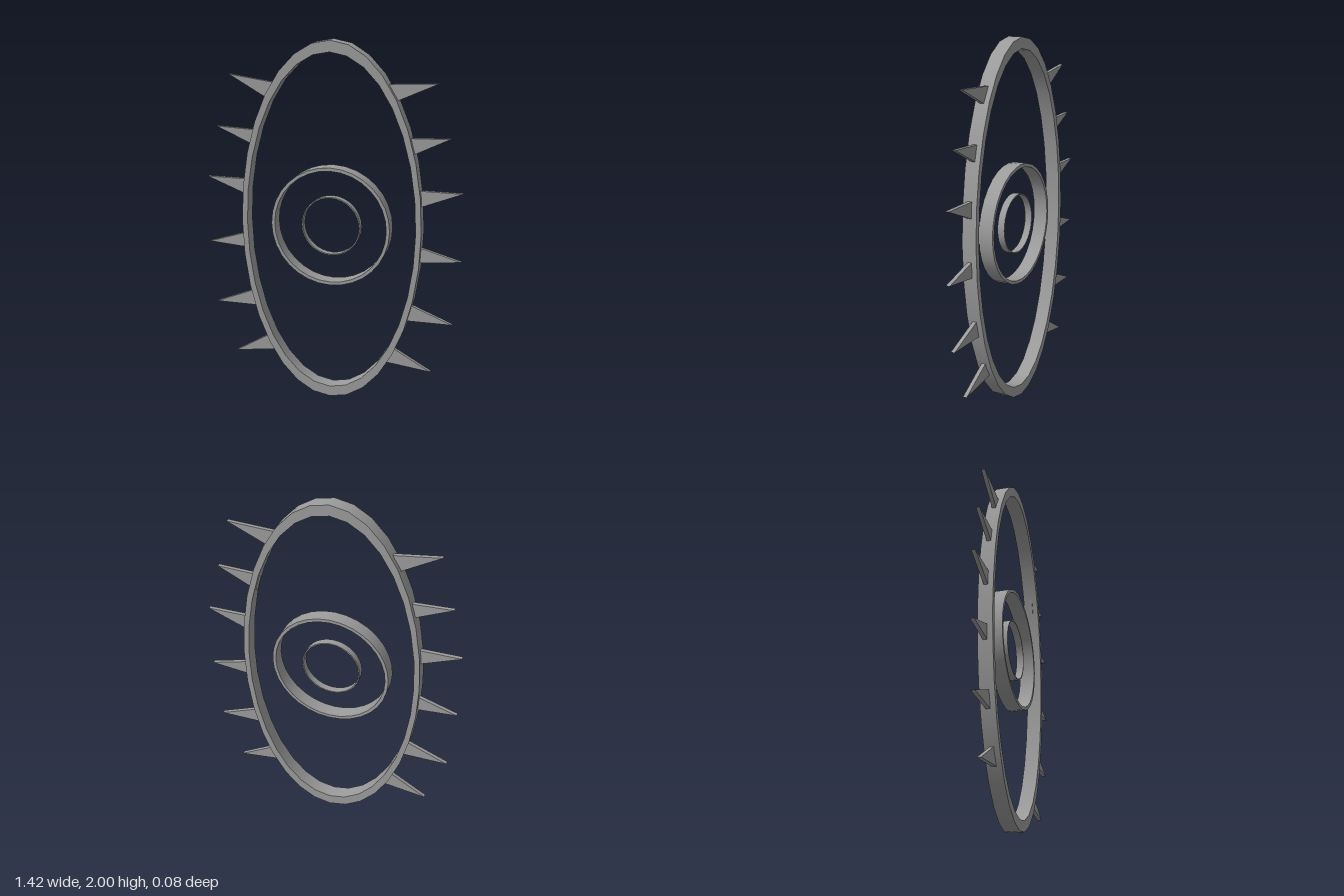
import * as THREE from 'three';
import { mergeGeometries } from 'three/addons/utils/BufferGeometryUtils.js';

const CENTER_Y = 1;

// Square-edged hoop facing +z, smooth around and sharp at the rims
function hoopGeometry(rx, ry, innerRatio, depth, segments = 32) {
  const h = depth / 2;
  const corners = [[1, -h], [1, h], [innerRatio, h], [innerRatio, -h], [1, -h]]
    .map(([x, y]) => new THREE.Vector2(x, y));
  const sides = [];
  for (let i = 0; i < 4; i++) {
    sides.push(new THREE.LatheGeometry([corners[i], corners[i + 1]], segments));
  }
  return mergeGeometries(sides).rotateX(Math.PI / 2).scale(rx, ry, 1);
}

// Flat triangular spike; its base is sunk a little into the hoop
function spikeGeometry([tx, ty, ax, ay, bx, by], sink = 0.05, thickness = 0.022) {
  const shape = new THREE.Shape([
    new THREE.Vector2(tx, ty),
    new THREE.Vector2(ax + (ax - tx) * sink, ay + (ay - ty) * sink),
    new THREE.Vector2(bx + (bx - tx) * sink, by + (by - ty) * sink),
  ]);
  return new THREE.ExtrudeGeometry(shape, { depth: thickness, bevelEnabled: false })
    .translate(0, 0, -thickness / 2);
}

export function createModel() {
  const group = new THREE.Group();
  const metal = new THREE.MeshStandardMaterial({ color: 0x9c9c9c });
  metal.name = 'grey metal';

  const add = (name, geometry, y = 0) => {
    const mesh = new THREE.Mesh(geometry, metal);
    mesh.name = name;
    mesh.position.y = y;
    group.add(mesh);
  };

  // Three nested hoops
  add('outerHoop', hoopGeometry(0.5, 1, 0.94, 0.08), CENTER_Y);
  add('middleHoop', hoopGeometry(0.33, 0.33, 0.945, 0.08), CENTER_Y);
  add('innerHoop', hoopGeometry(0.164, 0.164, 0.96, 0.04), CENTER_Y);

  // Spikes from top to bottom: tip, upper root, lower root
  const leftSpikes = [
    [0.565, 1.795, 0.32, 1.783, 0.355, 1.7],
    [0.635, 1.515, 0.4, 1.506, 0.425, 1.412],
    [0.709, 1.23, 0.487, 1.23, 0.49, 1.143],
    [0.711, 0.857, 0.49, 0.918, 0.49, 0.833],
    [0.675, 0.496, 0.447, 0.586, 0.43, 0.494],
    [0.564, 0.206, 0.37, 0.314, 0.317, 0.235],
  ];
  const rightSpikes = [
    [-0.566, 1.8, -0.32, 1.767, -0.365, 1.687],
    [-0.645, 1.515, -0.43, 1.506, -0.445, 1.427],
    [-0.706, 1.23, -0.487, 1.23, -0.49, 1.146],
    [-0.706, 0.854, -0.49, 0.923, -0.487, 0.838],
    [-0.675, 0.496, -0.445, 0.589, -0.43, 0.496],
    [-0.566, 0.204, -0.375, 0.318, -0.317, 0.239],
  ];
  leftSpikes.forEach((s, i) => add(`leftSpike${i + 1}`, spikeGeometry(s)));
  rightSpikes.forEach((s, i) => add(`rightSpike${i + 1}`, spikeGeometry(s)));

  return group;
}
